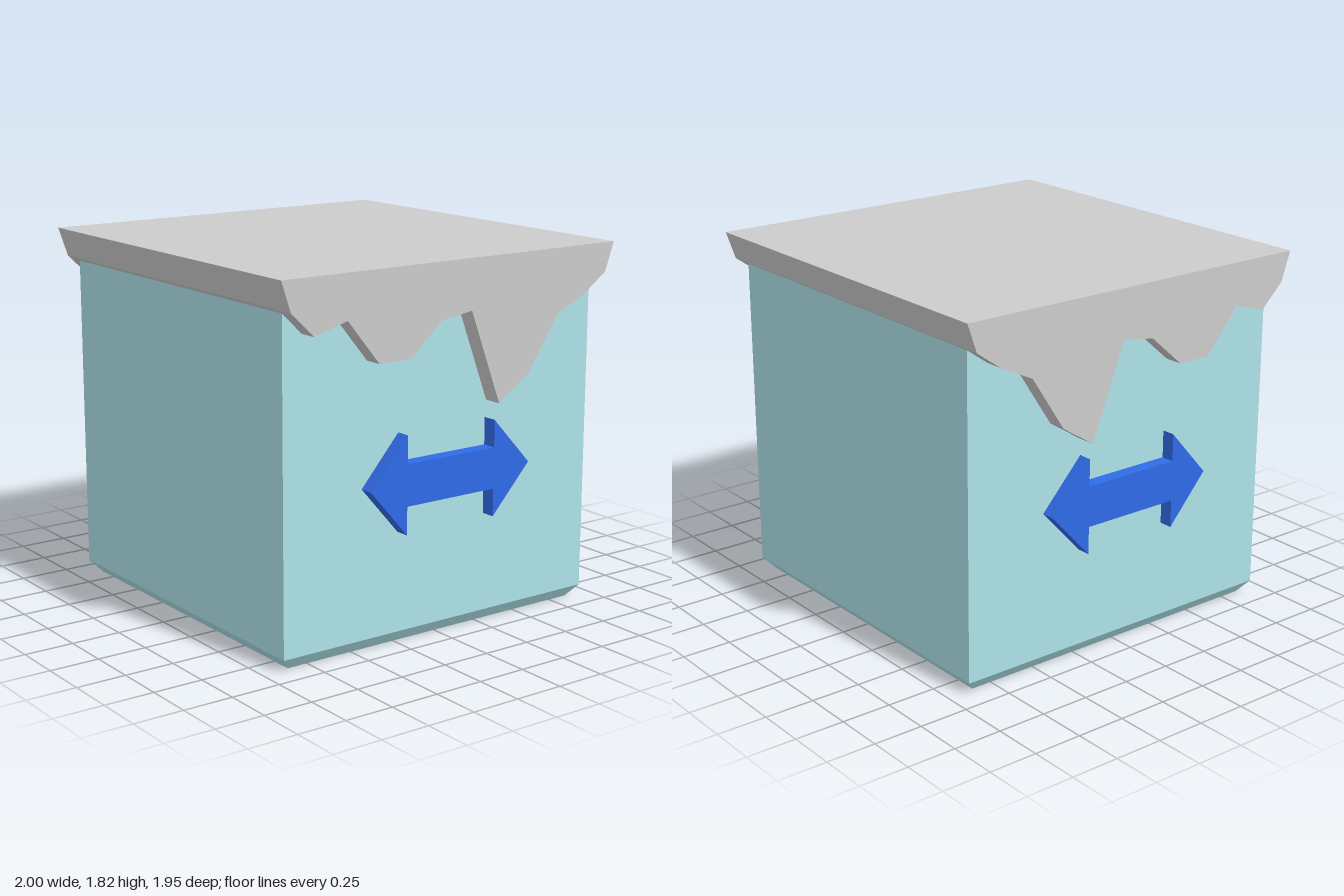
import * as THREE from 'three';

const mat = (color) => new THREE.MeshStandardMaterial({ color, flatShading: true });

// Extrude a [z, y] outline along x, from x0 to x1
function extrudeAlongX(points, x0, x1) {
  const shape = new THREE.Shape(points.map(([z, y]) => new THREE.Vector2(-z, y)));
  const geo = new THREE.ExtrudeGeometry(shape, { depth: x1 - x0, bevelEnabled: false });
  return geo.rotateY(Math.PI / 2).translate(x0, 0, 0);
}

function addPart(group, name, geometry, material) {
  const mesh = new THREE.Mesh(geometry, material);
  mesh.name = name;
  group.add(mesh);
}

export function createModel() {
  const model = new THREE.Group();
  model.name = 'arrowBlock';

  // Block body: a box whose bottom rim is chamfered
  const body = new THREE.BoxGeometry(1.812, 2, 1.82, 1, 2, 1);
  const p = body.attributes.position;
  for (let i = 0; i < p.count; i++) {
    const y = p.getY(i);
    if (y < -0.5) p.setXYZ(i, Math.sign(p.getX(i)) * 0.86, 0, Math.sign(p.getZ(i)) * 0.857);
    else p.setY(i, y > 0.5 ? 1.7 : 0.062);
  }
  addPart(model, 'body', body.toNonIndexed(), mat(0xaee2e8));

  // Cap with a dripping edge on both sides
  const drips = [
    [0.977, 1.822], [0.927, 1.675], [0.805, 1.557], [0.624, 1.608], [0.447, 1.393],
    [0.27, 1.393], [0.09, 1.55], [-0.087, 1.577], [-0.264, 1.115], [-0.44, 1.228],
    [-0.62, 1.502], [-0.797, 1.587], [-0.927, 1.68], [-0.977, 1.822],
  ];
  addPart(model, 'drippingCap', extrudeAlongX(drips, -1, 1), mat(0xcccccc));

  // Raised double-headed arrow on each side
  const arrow = [
    [0.474, 0.795], [0.264, 1.033], [0.264, 0.896], [-0.258, 0.896], [-0.258, 1.031],
    [-0.477, 0.793], [-0.258, 0.555], [-0.258, 0.693], [0.264, 0.693], [0.264, 0.555],
  ];
  const blue = mat(0x306be8);
  addPart(model, 'leftArrow', extrudeAlongX(arrow, 0.89, 0.978), blue);
  addPart(model, 'rightArrow', extrudeAlongX(arrow, -0.975, -0.89), blue);

  return model;
}
